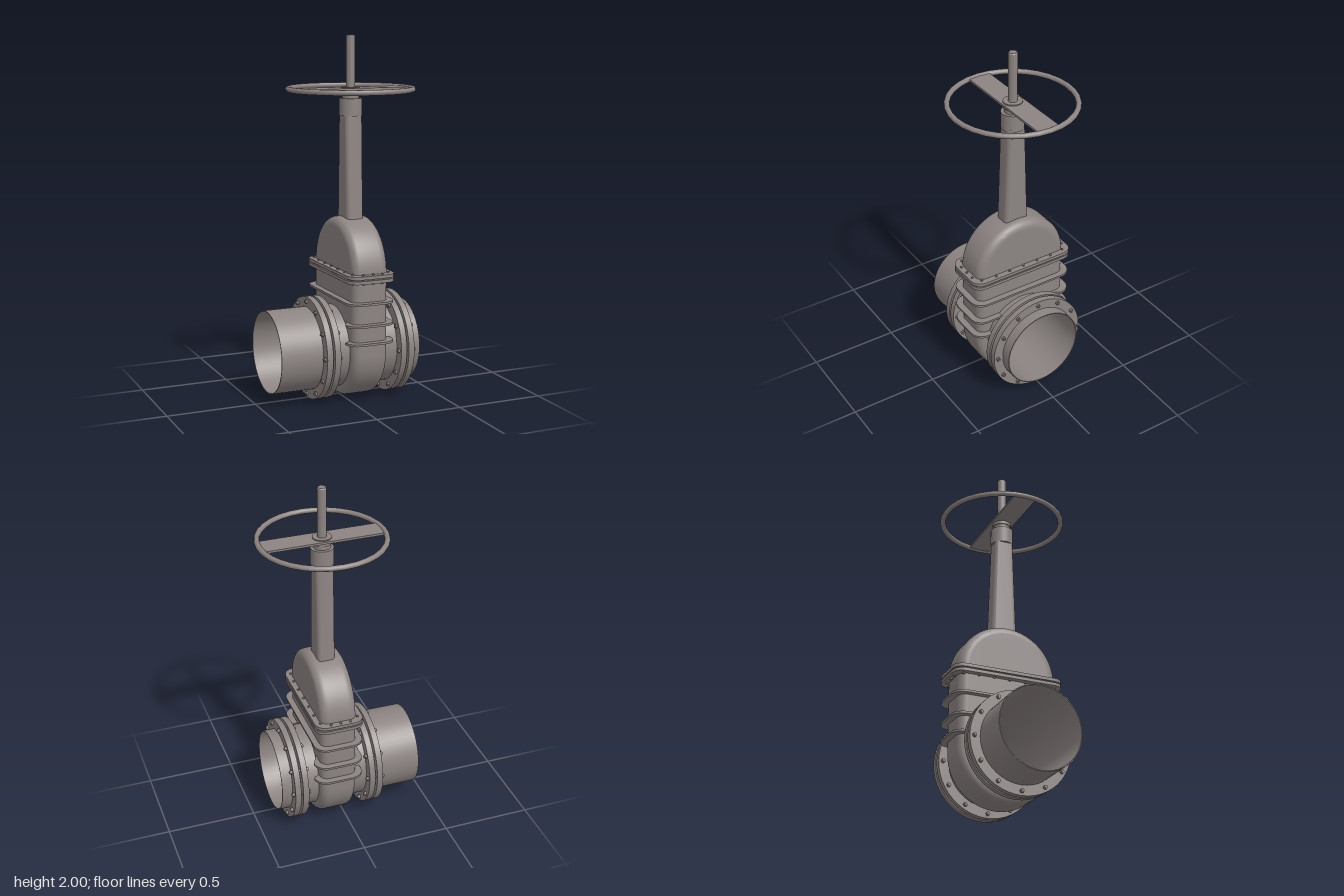
import * as THREE from 'three';
import { mergeGeometries, mergeVertices, toCreasedNormals } from 'three/addons/utils/BufferGeometryUtils.js';

const CX = 0.07;   // axis of the gate body and stem
const CY = 0.286;  // axis of the pipe
const BORE = 0.225;

export function createModel() {
  const model = new THREE.Group();
  const steel = new THREE.MeshStandardMaterial({ color: 0x8c8482 });
  steel.name = 'warm grey steel';

  const add = (name, geometry, x = 0, y = 0, z = 0, parent = model) => {
    const mesh = new THREE.Mesh(geometry, steel);
    mesh.name = name;
    mesh.position.set(x, y, z);
    parent.add(mesh);
    return mesh;
  };

  // Ring with a bore, lying along x
  const ring = (outer, inner, x0, x1) => {
    const profile = [[inner, x0], [outer, x0], [outer, x1], [inner, x1], [inner, x0]]
      .map(([r, y]) => new THREE.Vector2(r, y));
    return toCreasedNormals(new THREE.LatheGeometry(profile, 48).rotateZ(-Math.PI / 2), 0.6);
  };

  // Rectangle with rounded corners
  const roundedRect = (w, l, r) => {
    const s = new THREE.Shape();
    s.absarc(w - r, l - r, r, 0, Math.PI / 2);
    s.absarc(r - w, l - r, r, Math.PI / 2, Math.PI);
    s.absarc(r - w, r - l, r, Math.PI, Math.PI * 1.5);
    s.absarc(w - r, r - l, r, Math.PI * 1.5, Math.PI * 2);
    s.closePath();
    return s;
  };

  // Horizontal plate from an x/z shape, rising from y = 0
  const plate = (shape, height, curveSegments = 4) => toCreasedNormals(
    new THREE.ExtrudeGeometry(shape, { depth: height, bevelEnabled: false, curveSegments })
      .rotateX(-Math.PI / 2), 0.7);

  // Pipe running through the valve
  add('pipe', ring(0.23, BORE, -0.43, 0.39), 0, CY, 0);

  // Two bolted flange pairs
  for (const [side, x] of [['right', -0.15], ['left', 0.29]]) {
    const joint = new THREE.Group();
    joint.name = side + 'FlangeJoint';
    joint.position.set(x, CY, 0);
    model.add(joint);
    add('outerFlange', ring(0.286, BORE, -0.04, -0.006), 0, 0, 0, joint);
    add('innerFlange', ring(0.286, BORE, 0.006, 0.04), 0, 0, 0, joint);
    add('gasket', ring(0.243, BORE, -0.007, 0.007), 0, 0, 0, joint);
    const bolt = mergeGeometries([
      new THREE.CylinderGeometry(0.007, 0.007, 0.112, 8),
      new THREE.CylinderGeometry(0.012, 0.012, 0.011, 6).translate(0, 0.0455, 0),
      new THREE.CylinderGeometry(0.012, 0.012, 0.011, 6).translate(0, -0.0455, 0),
    ]).rotateZ(-Math.PI / 2);
    for (let i = 0; i < 12; i++) {
      const a = i * Math.PI / 6;
      add('flangeBolt', bolt, 0, 0.262 * Math.sin(a), 0.262 * Math.cos(a), joint);
    }
  }

  // Gate body and bonnet: rounded shell with flat cheeks pierced by the bore
  const R = 0.281, TOP = 0.73, BEVEL = 0.046, HALF = 0.104;
  const stadium = (r) => {
    const s = new THREE.Shape();
    s.absarc(0, TOP, r, 0, Math.PI);
    s.absarc(0, CY, r, Math.PI, Math.PI * 2);
    s.closePath();
    return s;
  };
  const solid = new THREE.ExtrudeGeometry(stadium(R), {
    depth: 2 * (HALF - BEVEL), bevelThickness: BEVEL, bevelSize: BEVEL,
    bevelOffset: -BEVEL, bevelSegments: 6, curveSegments: 24,
  }).translate(0, 0, BEVEL - HALF);
  const { start, count } = solid.groups[1];
  let shell = new THREE.BufferGeometry();
  shell.setAttribute('position', new THREE.Float32BufferAttribute(
    solid.attributes.position.array.slice(start * 3, (start + count) * 3), 3));
  shell = toCreasedNormals(mergeVertices(shell), 0.7).rotateY(Math.PI / 2);
  add('gateBody', shell, CX, 0, 0);
  const cheek = stadium(R - BEVEL);
  cheek.holes.push(new THREE.Path().absarc(0, CY, BORE + 0.002, 0, Math.PI * 2, true));
  for (const s of [1, -1]) {
    const face = new THREE.ShapeGeometry(cheek, 24).translate(0, 0, HALF).rotateY(s * Math.PI / 2);
    add('bodyCheek', face, CX, 0, 0);
  }

  // Bonnet flange: two plates with a gasket between and small bolts around
  const rim = plate(roundedRect(0.137, 0.318, 0.06), 0.018, 2);
  add('bonnetFlangeLower', rim, CX, 0.69, 0);
  add('bonnetFlangeUpper', rim, CX, 0.715, 0);
  add('bonnetGasket', plate(roundedRect(0.125, 0.305, 0.055), 0.009, 2), CX, 0.707, 0);
  const stud = new THREE.CylinderGeometry(0.007, 0.007, 0.058, 8);
  const studSpots = [[0.115, 0]];
  for (const s of [1, -1]) {
    studSpots.push([0.115, 0.09 * s], [0.115, 0.18 * s], [0.106, 0.265 * s], [0.056, 0.297 * s]);
    add('bonnetBolt', stud, CX, 0.711, 0.297 * s);
  }
  for (const [x, z] of studSpots) {
    for (const s of [1, -1]) add('bonnetBolt', stud, CX + s * x, 0.711, z);
  }

  // Stiffening ribs: one full band, then end bands that stop at the pipe
  const W = 0.138, L = 0.317, RR = 0.07;
  add('upperRib', plate(roundedRect(W, L, RR), 0.012, 6), CX, 0.57, 0);
  for (const [y, z0] of [[0.455, 0.155], [0.355, 0.218]]) {
    const band = new THREE.Shape();
    band.moveTo(W, z0);
    band.absarc(W - RR, L - RR, RR, 0, Math.PI / 2);
    band.absarc(RR - W, L - RR, RR, Math.PI / 2, Math.PI);
    band.lineTo(-W, z0);
    band.lineTo(-0.095, z0);
    band.lineTo(-0.06, 0.255);
    band.lineTo(0.06, 0.255);
    band.lineTo(0.095, z0);
    band.closePath();
    const geometry = plate(band, 0.012, 6);
    add('frontRib', geometry, CX, y - 0.006, 0).rotation.y = Math.PI;
    add('backRib', geometry, CX, y - 0.006, 0);
  }

  // Yoke column, narrowing upwards in z only
  const yoke = new THREE.ExtrudeGeometry(roundedRect(0.05, 0.074, 0.025),
    { depth: 0.6, bevelEnabled: false, curveSegments: 5 }).rotateX(-Math.PI / 2);
  const p = yoke.attributes.position;
  for (let i = 0; i < p.count; i++) p.setZ(i, p.getZ(i) * (1 - 0.3 * p.getY(i) / 0.6));
  add('yoke', toCreasedNormals(yoke, 0.7), CX, 0.98, 0);

  // Bearing cap, collar, wheel hub and stem
  const round = (name, r, y0, y1) =>
    add(name, new THREE.CylinderGeometry(r, r, y1 - y0, 28), CX, (y0 + y1) / 2, 0);
  round('bearingCap', 0.063, 1.565, 1.66);
  round('collar', 0.046, 1.66, 1.69);
  round('wheelHub', 0.052, 1.685, 1.722);
  round('stem', 0.025, 1.70, 1.994);
  add('stemTip', new THREE.CylinderGeometry(0.021, 0.025, 0.006, 28), CX, 1.997, 0);

  // Handwheel
  add('handwheelRim', new THREE.TorusGeometry(0.341, 0.015, 10, 32).rotateX(Math.PI / 2), CX, 1.71, 0);
  add('handwheelBar', new THREE.BoxGeometry(0.665, 0.012, 0.126), CX, 1.71, 0);

  return model;
}
